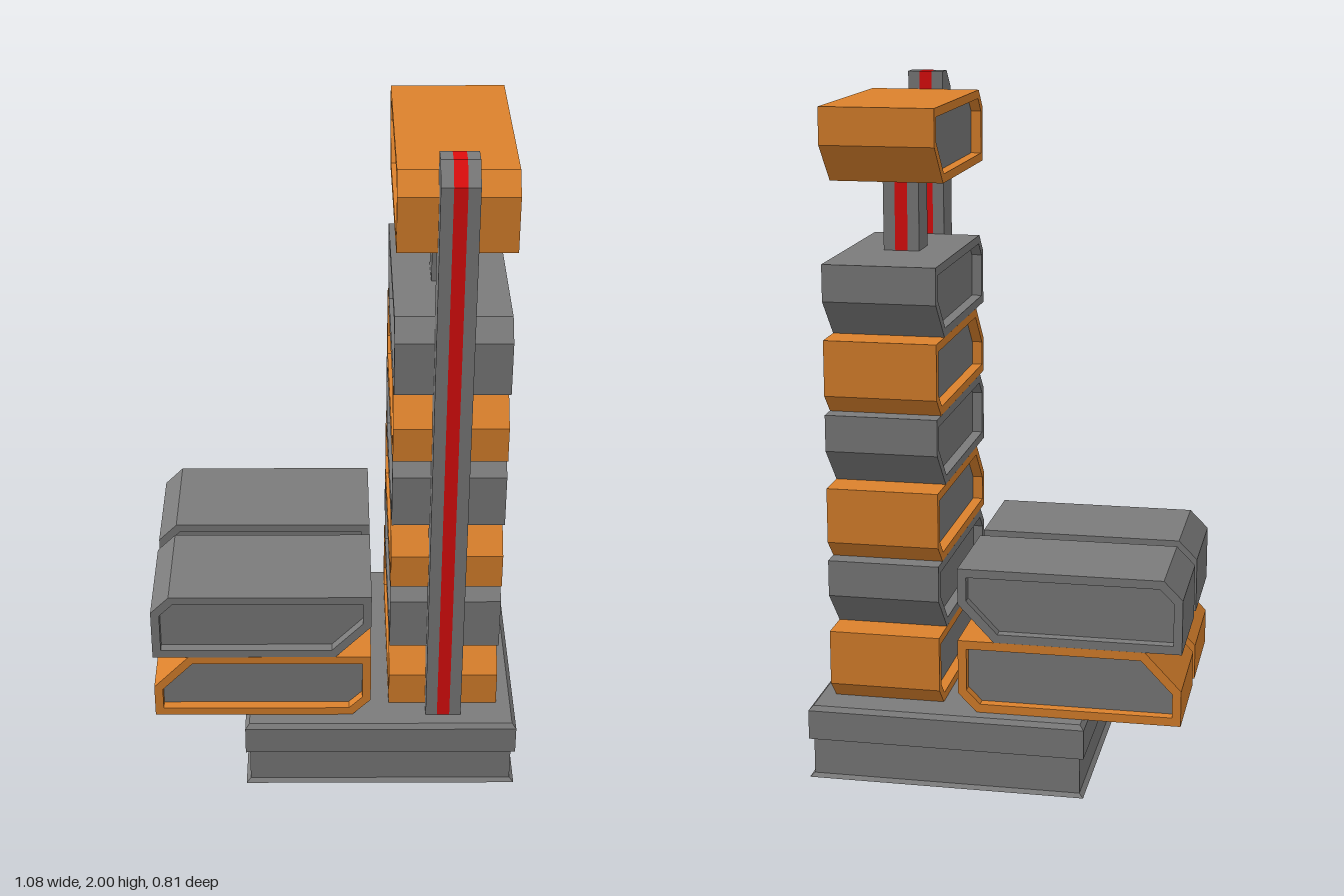
import * as THREE from 'three';

const gray = new THREE.MeshStandardMaterial({ color: 0x7b7b7b });
gray.name = 'gray';
const orange = new THREE.MeshStandardMaterial({ color: 0xdc822c });
orange.name = 'orange';
const red = new THREE.MeshStandardMaterial({ color: 0xe00d0d });
red.name = 'red';

const WIDTH = 0.325, RECESS = 0.03, RIM = 0.025, LEVEL = 0.2155;
// Side outline of a pod, counter-clockwise, centred on its own middle
const outline = [
  [-0.3225, -0.1077], [0.2175, -0.1077], [0.3225, 0.0023],
  [0.3225, 0.1077], [-0.268, 0.1077], [-0.3225, 0.0527],
].map(([x, y]) => new THREE.Vector2(x, y));

// Moves every edge of a convex outline inwards by d
function inset(pts, d) {
  return pts.map((p, i) => {
    const a = pts[(i + pts.length - 1) % pts.length], b = pts[(i + 1) % pts.length];
    const e1 = p.clone().sub(a).normalize(), e2 = b.clone().sub(p).normalize();
    const n1 = new THREE.Vector2(-e1.y, e1.x), n2 = new THREE.Vector2(-e2.y, e2.x);
    const k = d / (1 + n1.dot(n2));
    return p.clone().addScaledVector(n1.add(n2), k);
  });
}

// Extrudes a shape along z, from z0 to z1
function slab(shape, z0, z1, material, name) {
  const geo = new THREE.ExtrudeGeometry(shape, { depth: z1 - z0, bevelEnabled: false });
  geo.translate(0, 0, z0);
  const mesh = new THREE.Mesh(geo, material);
  mesh.name = name;
  return mesh;
}

// Pod with a recessed gray panel on both flat sides
function pod(color, upsideDown) {
  const g = new THREE.Group();
  g.name = 'pod';
  const h = WIDTH / 2, core = h - RECESS;
  g.add(slab(new THREE.Shape(outline), -core, core, [gray, color], 'podCore'));
  const frame = new THREE.Shape(outline);
  frame.holes.push(new THREE.Path(inset(outline, RIM).reverse()));
  g.add(slab(frame, core, h, color, 'podFrame'));
  g.add(slab(frame, -h, -core, color, 'podFrame'));
  if (upsideDown) g.rotation.z = Math.PI;
  return g;
}

// Post with a red stripe running through its middle
function stripedPost(points, name) {
  const g = new THREE.Group();
  g.name = name;
  const shape = new THREE.Shape(points.map(([x, y]) => new THREE.Vector2(x, y)));
  g.add(slab(shape, -0.0525, -0.0185, gray, 'postSide'));
  g.add(slab(shape, -0.0185, 0.0185, red, 'postStripe'));
  g.add(slab(shape, 0.0185, 0.0525, gray, 'postSide'));
  return g;
}

// Square block that may taper
function block(bottom, top, y0, y1, name) {
  const geo = new THREE.CylinderGeometry(top * Math.SQRT1_2, bottom * Math.SQRT1_2, y1 - y0, 4, 1).toNonIndexed();
  geo.rotateY(Math.PI / 4);
  geo.computeVertexNormals();
  const mesh = new THREE.Mesh(geo, gray);
  mesh.position.y = (y0 + y1) / 2;
  mesh.name = name;
  return mesh;
}

export function createModel() {
  const model = new THREE.Group();

  // Stepped square base
  const base = new THREE.Group();
  base.name = 'base';
  base.add(block(0.81, 0.785, 0, 0.01, 'baseLip'));
  base.add(block(0.785, 0.785, 0.01, 0.12, 'baseFoot'));
  base.add(block(0.81, 0.81, 0.12, 0.207, 'basePlate'));
  base.add(block(0.81, 0.785, 0.207, 0.22, 'baseBevel'));
  base.position.x = 0.135;
  model.add(base);

  // Tower of pods, turned so that its length runs front to back
  const tower = new THREE.Group();
  tower.name = 'tower';
  for (let i = 0; i < 6; i++) {
    const p = pod(i % 2 ? gray : orange, i % 2 === 0);
    p.position.set(0.0275, 0.22 + LEVEL * (i + 0.5), 0);
    tower.add(p);
  }
  const topPod = pod(orange, false);
  topPod.name = 'topPod';
  topPod.position.set(0.0275, 1.84, 0);
  tower.add(topPod);

  // Tall front mast with a chamfered tip, and the short lift post under the top pod
  tower.add(stripedPost([[-0.352, 0.21], [-0.243, 0.21], [-0.243, 2], [-0.297, 2], [-0.352, 1.945]], 'mast'));
  tower.add(stripedPost([[-0.026, 1.5], [0.08, 1.5], [0.08, 1.75], [-0.026, 1.75]], 'liftPost'));
  tower.rotation.y = Math.PI / 2;
  tower.position.x = 0.323;
  model.add(tower);

  // Two side stacks of two pods each
  for (const z of [-0.192, 0.187]) {
    const stack = new THREE.Group();
    stack.name = 'sideStack';
    for (let i = 0; i < 2; i++) {
      const p = pod(i ? gray : orange, i === 0);
      p.position.set(-0.2175, 0.22 + LEVEL * (i + 0.5), z);
      stack.add(p);
    }
    model.add(stack);
  }
  return model;
}
